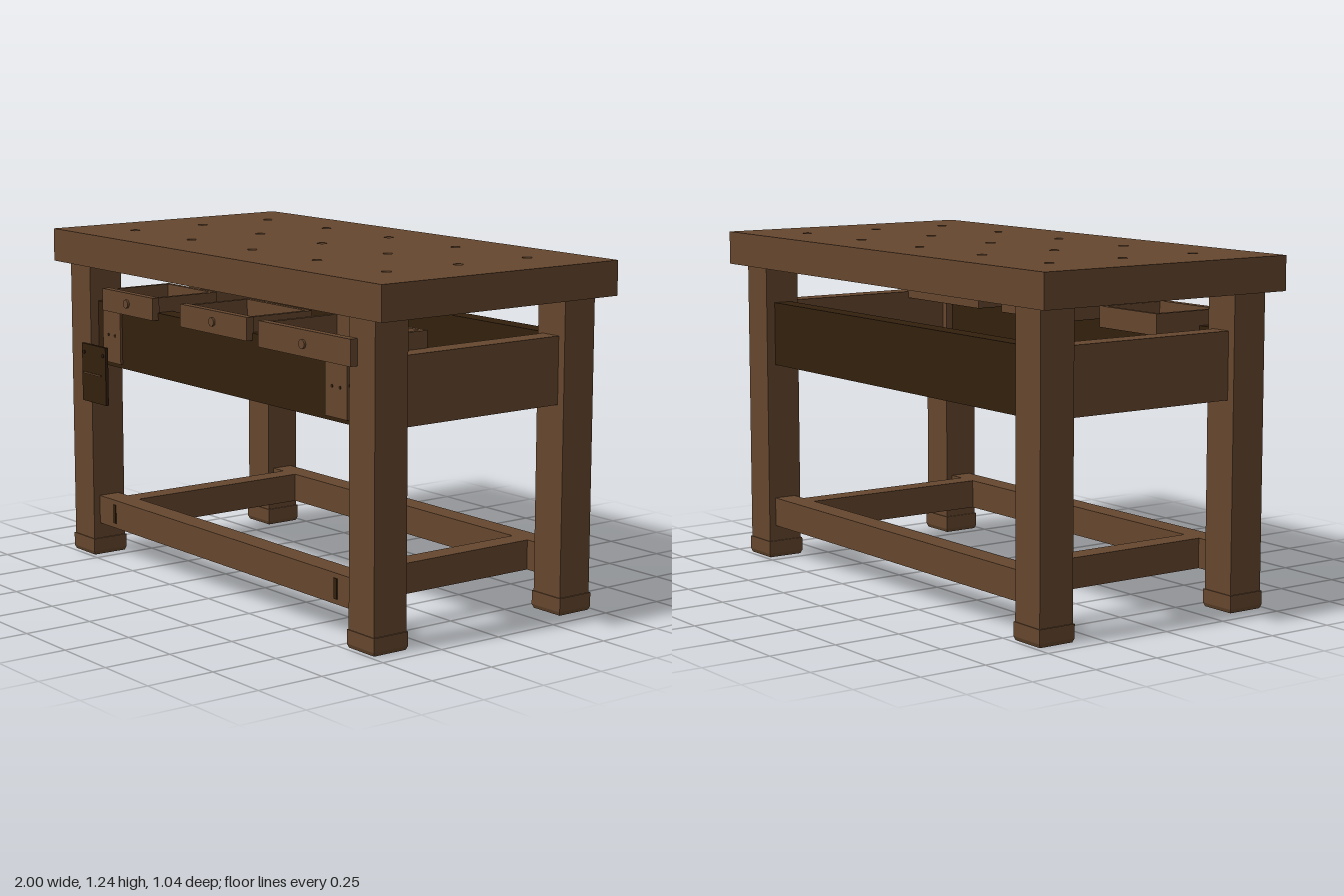
import * as THREE from 'three';

export function createModel() {
  const bench = new THREE.Group();
  bench.name = 'workbench';
  const mat = (name, color) => {
    const m = new THREE.MeshStandardMaterial({ color });
    m.name = name;
    return m;
  };
  const wood = mat('brown wood', 0x65472e);
  const dark = mat('dark wood', 0x33200d);

  const add = (name, geometry, material, parent = bench) => {
    const mesh = new THREE.Mesh(geometry, material);
    mesh.name = name;
    parent.add(mesh);
    return mesh;
  };
  // Box given by its limits on each axis
  const box = (name, [x0, x1], [y0, y1], [z0, z1], material = wood, parent = bench) => {
    const g = new THREE.BoxGeometry(x1 - x0, y1 - y0, z1 - z0);
    g.translate((x0 + x1) / 2, (y0 + y1) / 2, (z0 + z1) / 2);
    return add(name, g, material, parent);
  };
  // Round peg pointing forward
  const peg = (name, x, y, z0, z1, r, material, parent = bench) => {
    const g = new THREE.CylinderGeometry(r, r, z1 - z0, 12);
    g.rotateX(Math.PI / 2);
    g.translate(x, y, (z0 + z1) / 2);
    return add(name, g, material, parent);
  };
  // Range on the chosen side, kept in rising order
  const side = (s, a, b) => (s > 0 ? [a, b] : [-b, -a]);

  // Table top with a grid of dog holes
  const top = new THREE.Shape();
  top.moveTo(-1, -0.513);
  top.lineTo(1, -0.513);
  top.lineTo(1, 0.521);
  top.lineTo(-1, 0.521);
  top.closePath();
  for (const x of [-0.76, -0.38, 0, 0.38, 0.76]) {
    for (const z of [-0.32, -0.01, 0.3]) {
      const hole = new THREE.Path();
      hole.absarc(x, -z, 0.018, 0, Math.PI * 2, true);
      top.holes.push(hole);
    }
  }
  const topGeometry = new THREE.ExtrudeGeometry(top, { depth: 0.123, bevelEnabled: false, curveSegments: 8 });
  topGeometry.rotateX(-Math.PI / 2);
  topGeometry.translate(0, 1.12, 0);
  add('tableTop', topGeometry, wood);

  // Legs with slightly wider feet tapering at the floor
  for (const sx of [-1, 1]) {
    for (const sz of [-1, 1]) {
      const leg = new THREE.Group();
      leg.name = 'leg';
      bench.add(leg);
      box('legPost', side(sx, 0.795, 0.93), [0.03, 1.12], side(sz, 0.345, 0.482), wood, leg);
      box('foot', side(sx, 0.79, 0.935), [0.014, 0.063], side(sz, 0.341, 0.486), wood, leg);
      const taper = new THREE.CylinderGeometry(0.145 / Math.SQRT2, 0.134 / Math.SQRT2, 0.014, 4).toNonIndexed();
      taper.rotateY(Math.PI / 4);
      taper.computeVertexNormals();
      taper.translate(sx * 0.8625, 0.007, sz * 0.4135);
      add('footTaper', taper, wood, leg);
    }
  }

  // Aprons and lower stretchers
  for (const s of [-1, 1]) {
    box('longApron', [-0.795, 0.795], [0.745, 0.983], side(s, 0.375, 0.447), dark);
    box('sideApron', side(s, 0.82, 0.9), [0.745, 0.985], [-0.347, 0.347]);
    box('longStretcher', [-0.795, 0.795], [0.122, 0.23], side(s, 0.37, 0.455));
    box('sideStretcher', side(s, 0.65, 0.73), [0.122, 0.23], [-0.372, 0.372]);
    box('tenonEnd', side(s, 0.68, 0.698), [0.14, 0.212], [0.45, 0.458], dark);

    // Blocks carrying the outer drawers
    const block = new THREE.Group();
    block.name = 'supportBlock';
    bench.add(block);
    box('block', side(s, 0.63, 0.75), [0.76, 0.96], [0.44, 0.456], wood, block);
    for (const dx of [-0.022, 0.022]) peg('blockScrew', s * 0.69 + dx, 0.865, 0.452, 0.458, 0.006, dark, block);
  }

  // Open drawers: front board, tray and knob
  const drawers = [
    { x0: -0.725, x1: -0.385, z: 0.472, h: 1.04 },
    { x0: -0.205, x1: 0.205, z: 0.472, h: 1.04 },
    { x0: 0.33, x1: 0.84, z: 0.513, h: 1.048 },
  ];
  for (const { x0, x1, z, h } of drawers) {
    const drawer = new THREE.Group();
    drawer.name = 'drawer';
    bench.add(drawer);
    const a = x0 + 0.012, b = x1 - 0.012, t = 0.018, f = z - 0.03;
    box('drawerFront', [x0, x1], [0.957, h], [f, z], wood, drawer);
    box('drawerSide', [a, a + t], [0.962, h - 0.003], [0.18, f], wood, drawer);
    box('drawerSide', [b - t, b], [0.962, h - 0.003], [0.18, f], wood, drawer);
    box('drawerBack', [a + t, b - t], [0.962, h - 0.003], [0.18, 0.18 + t], wood, drawer);
    box('drawerBottom', [a + 0.002, b - 0.002], [0.96, 0.972], [0.182, f], dark, drawer);
    peg('drawerKnob', (x0 + x1) / 2, 1.0, z, z + 0.008, 0.016, wood, drawer);
  }

  // Small dark plate on the front of one leg
  const plate = new THREE.Group();
  plate.name = 'legPlate';
  bench.add(plate);
  box('plate', [-0.845, -0.68], [0.6, 0.82], [0.48, 0.492], dark, plate);
  box('plateBar', [-0.832, -0.71], [0.706, 0.712], [0.49, 0.496], wood, plate);
  for (const x of [-0.828, -0.697]) peg('plateScrew', x, 0.788, 0.49, 0.496, 0.007, dark, plate);

  return bench;
}
